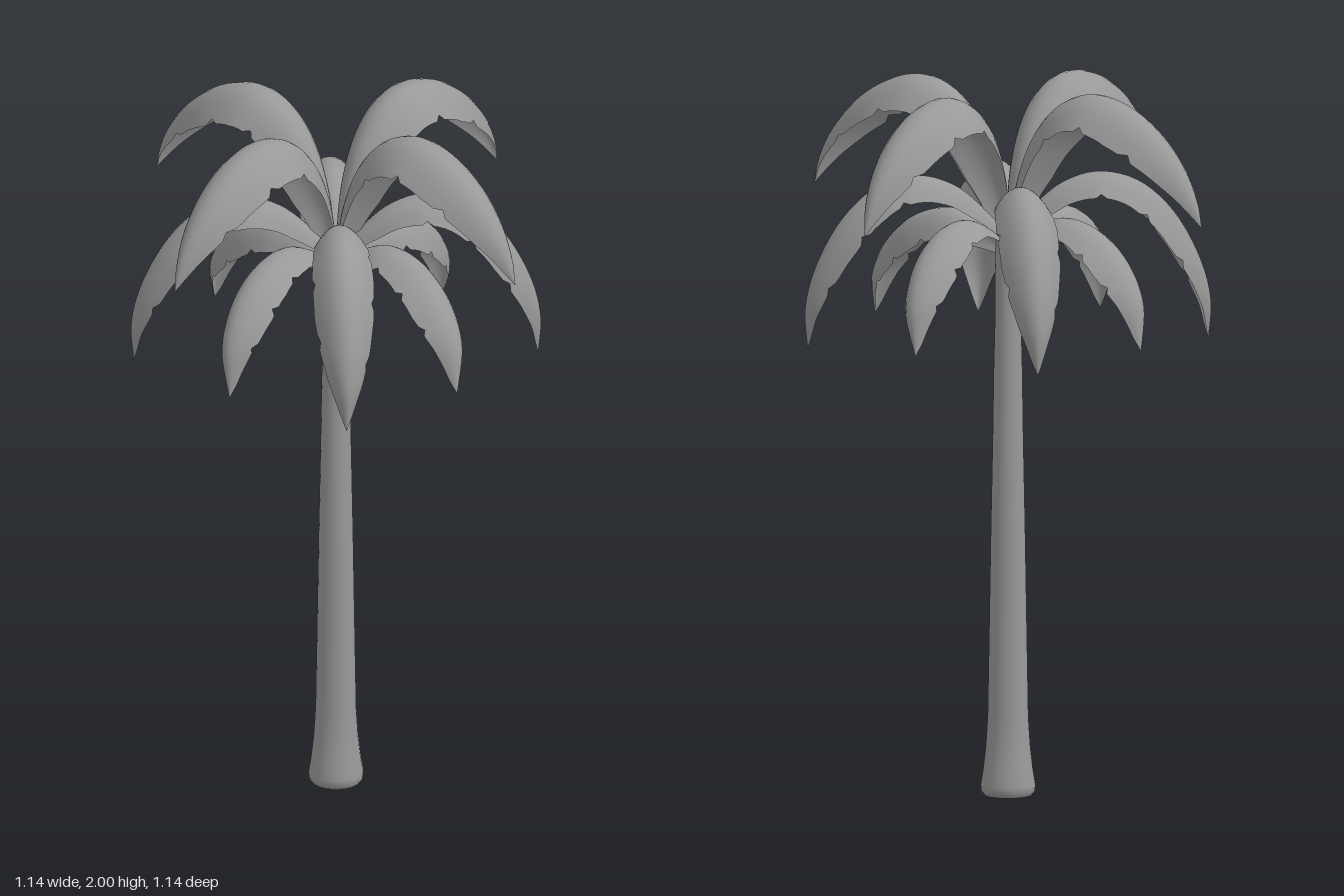
import * as THREE from 'three';

const ROWS = 40, COLS = 10;

// Half width of a frond along its length (t, width)
const WIDTHS = [[0, 0.022], [0.15, 0.055], [0.3, 0.075], [0.5, 0.086], [0.65, 0.083], [0.76, 0.07], [0.86, 0.048], [0.95, 0.02], [1, 0.001]];

function widthAt(t) {
  let k = 0;
  while (k < WIDTHS.length - 2 && t > WIDTHS[k + 1][0]) k++;
  const [t0, w0] = WIDTHS[k], [t1, w1] = WIDTHS[k + 1];
  return w0 + (w1 - w0) * (t - t0) / (t1 - t0);
}

// Arched leaf swept along a spine given as (radius, height above its base) points
function frondGeometry(spine, widthScale) {
  const curve = new THREE.CatmullRomCurve3(spine.map(([r, y]) => new THREE.Vector3(r, y, 0)), false, 'centripetal');
  const positions = [], indices = [];
  for (let i = 0; i <= ROWS; i++) {
    const t = i / ROWS;
    const p = curve.getPointAt(t), d = curve.getTangentAt(t);
    const w = widthAt(t) * widthScale;
    for (let j = 0; j <= COLS; j++) {
      const u = (j / COLS) * 2 - 1;
      // Small nicks in the leaf edges
      const nick = Math.abs(u) === 1 && i > 9 && i < 35 && (i + (u > 0 ? 3 : 0)) % 8 === 0 ? 0.92 : 1;
      const side = u * nick;
      const drop = w * 0.85 * side * side;
      positions.push(p.x + d.y * drop, p.y - d.x * drop, w * side);
    }
  }
  for (let i = 0; i < ROWS; i++) {
    for (let j = 0; j < COLS; j++) {
      const a = i * (COLS + 1) + j, b = a + COLS + 1;
      indices.push(a, a + 1, b, a + 1, b + 1, b);
    }
  }
  const geometry = new THREE.BufferGeometry();
  geometry.setAttribute('position', new THREE.Float32BufferAttribute(positions, 3));
  geometry.setIndex(indices);
  geometry.computeVertexNormals();
  return geometry;
}

export function createModel() {
  const palm = new THREE.Group();
  palm.name = 'palmTree';
  const grey = new THREE.MeshStandardMaterial({ color: 0x999999, side: THREE.DoubleSide });
  grey.name = 'plainGrey';

  // Trunk with a flared foot
  const profile = [[0, 0], [0.066, 0], [0.075, 0.012], [0.077, 0.03], [0.07, 0.07], [0.062, 0.14], [0.057, 0.22],
    [0.053, 0.45], [0.048, 0.75], [0.043, 1.0], [0.04, 1.2], [0.037, 1.32], [0.035, 1.58], [0.022, 1.63], [0, 1.65]];
  const trunk = new THREE.Mesh(new THREE.LatheGeometry(profile.map(([x, y]) => new THREE.Vector2(x, y)), 24), grey);
  trunk.name = 'trunk';
  palm.add(trunk);

  // Three tiers of four fronds; the lowest ones roll sideways in mirrored pairs
  const deg = Math.PI / 180;
  const tiers = [
    { name: 'upperFrond', scale: 1.25, base: 1.6, roll: 0, angles: [45, 135, 225, 315],
      spine: [[0.01, 0], [0.035, 0.12], [0.1, 0.27], [0.19, 0.365], [0.29, 0.4], [0.4, 0.38], [0.51, 0.315], [0.6, 0.22], [0.65, 0.13], [0.67, 0.06]] },
    { name: 'middleFrond', scale: 1, base: 1.58, roll: 0, angles: [0, 90, 180, 270],
      spine: [[0, 0], [0.07, 0.075], [0.15, 0.14], [0.25, 0.17], [0.36, 0.145], [0.46, 0.06], [0.54, -0.08], [0.57, -0.2], [0.563, -0.31]] },
    { name: 'lowerFrond', scale: 1, base: 1.54, roll: 15, angles: [43, 137, 223, 317],
      spine: [[0, 0], [0.08, 0.065], [0.17, 0.1], [0.28, 0.08], [0.39, 0.005], [0.47, -0.11], [0.493, -0.245]] },
  ];
  for (const tier of tiers) {
    const geometry = frondGeometry(tier.spine, tier.scale);
    tier.angles.forEach((angle, n) => {
      const frond = new THREE.Mesh(geometry, grey);
      frond.name = tier.name + (n + 1);
      frond.position.y = tier.base;
      frond.rotation.set(tier.roll * (n % 2 ? -1 : 1) * deg, angle * deg, 0, 'YXZ');
      palm.add(frond);
    });
  }
  return palm;
}
